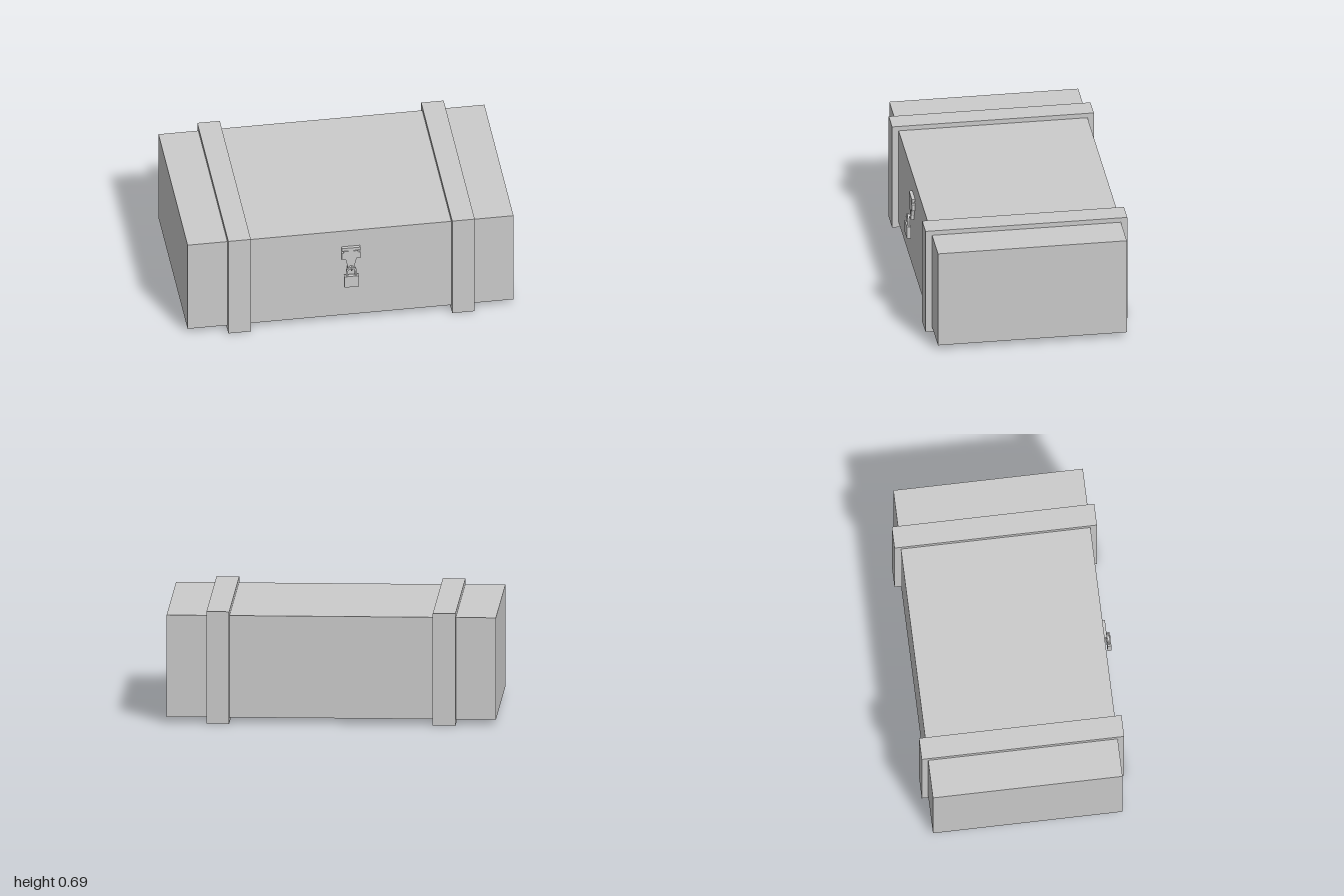
import * as THREE from 'three';

const material = new THREE.MeshStandardMaterial({ color: 0xcccccc, flatShading: true });

function add(group, name, geometry, x = 0, y = 0, z = 0) {
  const mesh = new THREE.Mesh(geometry, material);
  mesh.name = name;
  mesh.position.set(x, y, z);
  group.add(mesh);
  return mesh;
}

// Plate symmetric about x = 0, drawn from its right-hand outline
function mirroredPlate(half, depth, hole) {
  const left = half.map(([x, y]) => [-x, y]).reverse();
  const shape = new THREE.Shape([...half, ...left].map(([x, y]) => new THREE.Vector2(x, y)));
  if (hole) shape.holes.push(hole);
  return new THREE.ExtrudeGeometry(shape, { depth, bevelEnabled: false, curveSegments: 12 });
}

export function createModel() {
  const chest = new THREE.Group();
  chest.name = 'chest';

  // Main case
  add(chest, 'caseBody', new THREE.BoxGeometry(2, 0.627, 1.158), 0, 0.3465, -0.004);

  // Straps wrapped around the case
  for (const side of [-1, 1]) {
    add(chest, side > 0 ? 'leftStrap' : 'rightStrap',
      new THREE.BoxGeometry(0.138, 0.69, 1.237), side * 0.687, 0.345, -0.0035);
  }

  // Hasp: slotted hinge bar, plate and tapering tongue
  const lock = new THREE.Group();
  lock.name = 'lock';
  chest.add(lock);
  const hasp = [
    [0.022, 0.385], [0.022, 0.41], [0.034, 0.462], [0.057, 0.462],
    [0.057, 0.505], [0.045, 0.508], [0.043, 0.519], [0.016, 0.519],
    [0.016, 0.523], [0.057, 0.523], [0.057, 0.543],
  ];
  add(lock, 'hasp', mirroredPlate(hasp, 0.022), 0, 0, 0.573);

  // Staple ring standing out through the hasp
  const staple = add(lock, 'staple', new THREE.TorusGeometry(0.012, 0.004, 6, 16), 0, 0.398, 0.608);
  staple.rotation.y = Math.PI / 2;
  const boss = add(lock, 'stapleBoss', new THREE.CylinderGeometry(0.012, 0.012, 0.022, 16), 0, 0.4, 0.6);
  boss.rotation.x = Math.PI / 2;

  // Padlock shackle, an arch with straight legs
  const arch = new THREE.Shape();
  arch.moveTo(-0.033, 0.345);
  arch.lineTo(0.033, 0.345);
  arch.lineTo(0.033, 0.38);
  arch.absarc(0, 0.38, 0.033, 0, Math.PI, false);
  const opening = new THREE.Path();
  opening.moveTo(-0.021, 0.35);
  opening.lineTo(-0.021, 0.38);
  opening.absarc(0, 0.38, 0.021, Math.PI, 0, true);
  opening.lineTo(0.021, 0.35);
  arch.holes.push(opening);
  add(lock, 'shackle', new THREE.ExtrudeGeometry(arch,
    { depth: 0.012, bevelEnabled: false, curveSegments: 12 }), 0, 0, 0.603);

  // Padlock body
  add(lock, 'padlockBody', new THREE.BoxGeometry(0.09, 0.08, 0.024), 0, 0.31, 0.611);

  return chest;
}
